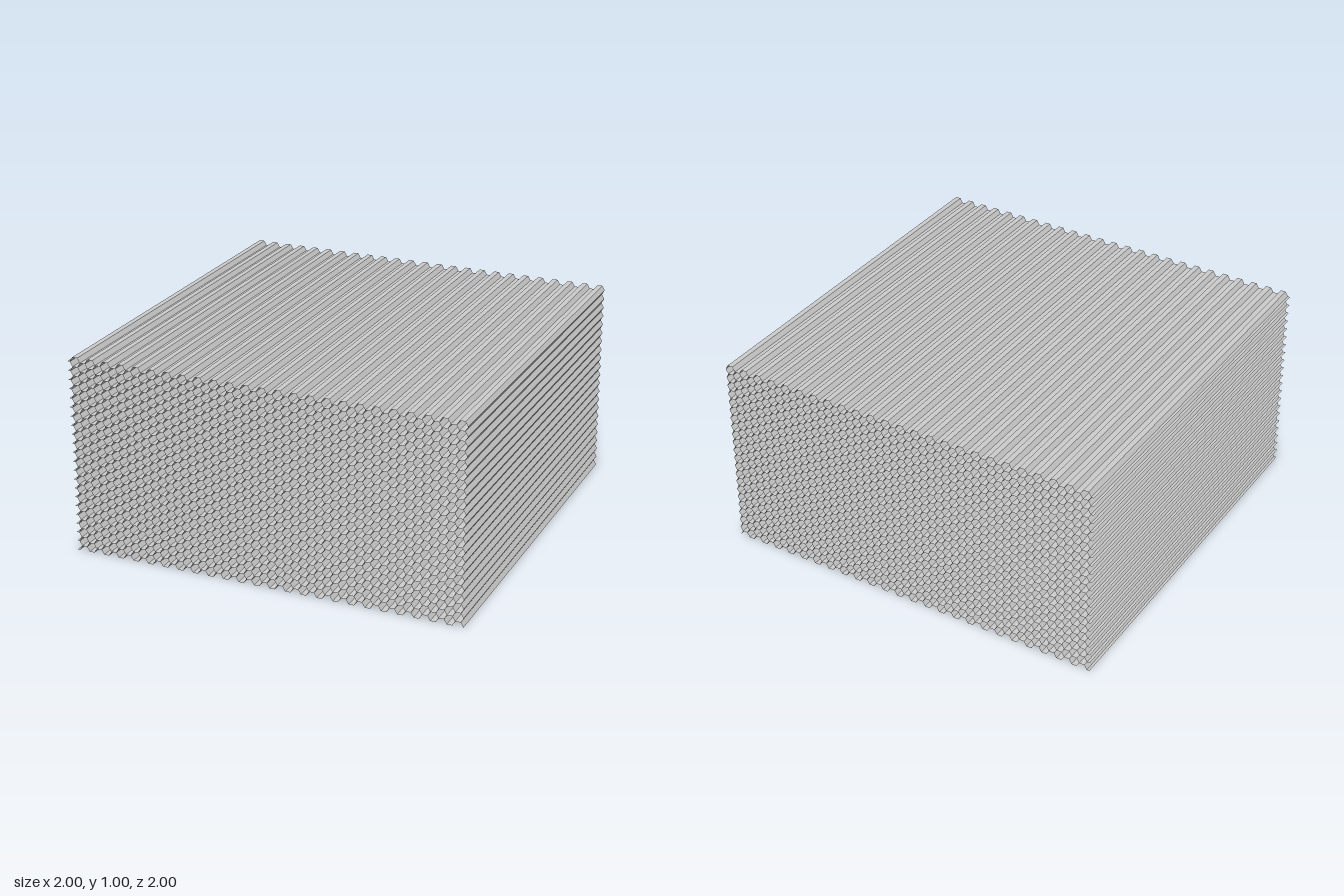
import * as THREE from 'three';
import { mergeGeometries } from 'three/addons/utils/BufferGeometryUtils.js';

const COLUMNS = 25;            // raised cell columns across the width
const HALF_ROWS = 43;          // half-cell steps up the height
const S = 2 / 74.5;            // side of one hexagonal cell
const STEP = 1 / HALF_ROWS;    // half the height of a cell
const DEPTH = 2;

// Thin sheet running front to back between two points of the cell pattern
function wall(x1, y1, x2, y2) {
  const g = new THREE.PlaneGeometry(Math.hypot(x2 - x1, y2 - y1), DEPTH);
  g.rotateX(-Math.PI / 2);
  g.rotateZ(Math.atan2(y2 - y1, x2 - x1));
  g.translate((x1 + x2) / 2, (y1 + y2) / 2, 0);
  return g;
}

export function createModel() {
  const group = new THREE.Group();
  group.name = 'honeycombBlock';
  const material = new THREE.MeshStandardMaterial({
    color: 0xcccccc, side: THREE.DoubleSide, flatShading: true,
  });
  const zigzags = [], raisedFlats = [], linkFlats = [];

  for (let i = 0; i < COLUMNS; i++) {
    const left = -1 + S / 2 + 3 * S * i;
    const right = left + 2 * S;

    // Corrugated upright walls on both sides of the column
    const inset = k => (k % 2 ? S / 2 : 0);
    for (let k = 0; k < HALF_ROWS; k++) {
      const y = k * STEP;
      zigzags.push(wall(left + inset(k), y, left + inset(k + 1), y + STEP));
      zigzags.push(wall(right - inset(k), y, right - inset(k + 1), y + STEP));
    }

    // Level walls inside the column, and those linking it to the one before
    for (let k = 0; k < HALF_ROWS; k += 2) {
      raisedFlats.push(wall(left + S / 2, (k + 1) * STEP, right - S / 2, (k + 1) * STEP));
      linkFlats.push(wall(left - (i ? S : S / 2), k * STEP, left, k * STEP));
    }
  }

  const add = (name, parts) => {
    const mesh = new THREE.Mesh(mergeGeometries(parts), material);
    mesh.name = name;
    group.add(mesh);
  };
  add('corrugatedWalls', zigzags);
  add('cellFloors', raisedFlats);
  add('linkingFloors', linkFlats);
  return group;
}
